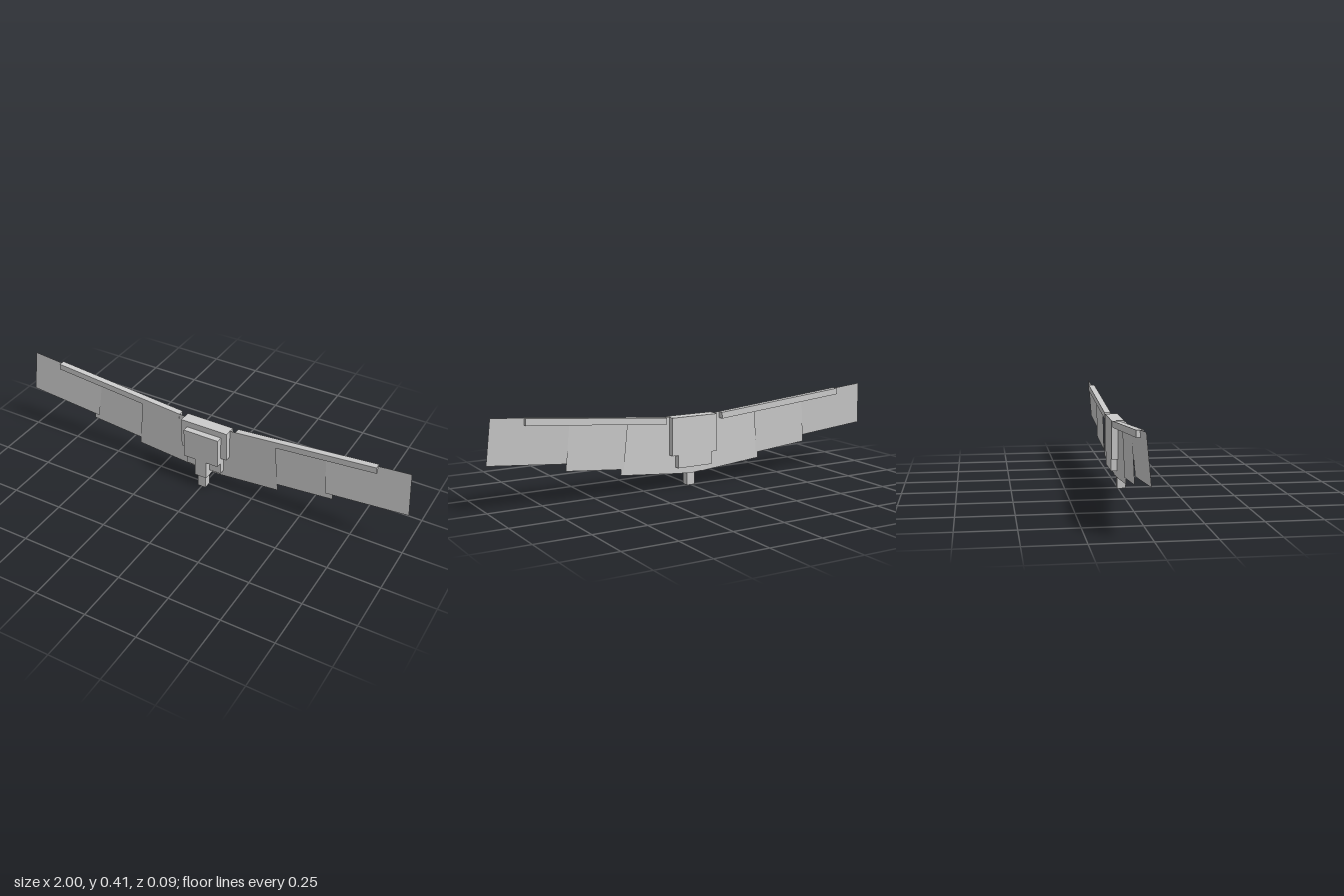
import * as THREE from 'three';

const material = new THREE.MeshStandardMaterial({ color: 0xcccccc, flatShading: true, side: THREE.DoubleSide });

// Box given by its half width and its y and z limits
function block(name, halfX, y0, y1, z0, z1) {
  const mesh = new THREE.Mesh(new THREE.BoxGeometry(2 * halfX, y1 - y0, z1 - z0), material);
  mesh.position.set(0, (y0 + y1) / 2, (z0 + z1) / 2);
  mesh.name = name;
  return mesh;
}

// Thin wing sheet: a rectangle in the wing's plane, leaning from zTop to zBottom
function panel(name, x0, x1, depth, zTop, zBottom) {
  const geo = new THREE.PlaneGeometry(x1 - x0, depth);
  geo.translate((x0 + x1) / 2, -depth / 2, 0);
  const p = geo.attributes.position;
  for (let i = 0; i < p.count; i++) p.setZ(i, p.getY(i) < -depth / 2 ? zBottom : zTop);
  geo.computeVertexNormals();
  const mesh = new THREE.Mesh(geo, material);
  mesh.name = name;
  return mesh;
}

// Wing with its leading edge along local y = 0, raised towards the tip
function wing(side) {
  const group = new THREE.Group();
  group.name = side > 0 ? 'leftWing' : 'rightWing';
  const slope = new THREE.Group();
  slope.position.set(0, 0.325, 0);
  slope.rotation.z = Math.atan(0.0895);

  const spar = new THREE.Mesh(new THREE.BoxGeometry(0.685, 0.03, 0.03), material);
  spar.name = 'leadingSpar';
  spar.position.set(0.491, -0.015, -0.029);
  slope.add(
    spar,
    panel('innerPanel', 0.03, 0.352, 0.266, -0.0155, -0.0155),
    panel('middlePanel', 0.34, 0.625, 0.237, -0.028, -0.02),
    panel('outerPanel', 0.594, 0.986, 0.206, -0.029, -0.012)
  );
  group.add(slope);
  group.scale.x = side;
  return group;
}

export function createModel() {
  const model = new THREE.Group();
  model.name = 'wingPack';
  // Stepped central body, from back to front
  model.add(
    block('backPlate', 0.12, 0.157, 0.335, -0.044, -0.015),
    block('backPlateLower', 0.09, 0.097, 0.157, -0.044, -0.015),
    block('midPlate', 0.12, 0.187, 0.335, -0.015, 0.015),
    block('midPlateLower', 0.09, 0.097, 0.187, -0.015, 0.015),
    block('frontPlate', 0.09, 0.157, 0.305, 0.015, 0.045),
    block('neck', 0.03, 0.067, 0.157, -0.015, 0.045),
    block('stem', 0.02, 0, 0.067, -0.005, 0.035)
  );
  for (const side of [1, -1]) model.add(wing(side));

  // Root sheet joining the two inner panels under the body
  const root = new THREE.Shape();
  root.moveTo(-0.055, 0.065);
  root.lineTo(0, 0.06);
  root.lineTo(0.055, 0.065);
  root.lineTo(0.055, 0.3);
  root.lineTo(-0.055, 0.3);
  const rootMesh = new THREE.Mesh(new THREE.ShapeGeometry(root), material);
  rootMesh.position.z = -0.0155;
  rootMesh.name = 'wingRoot';
  model.add(rootMesh);
  return model;
}
